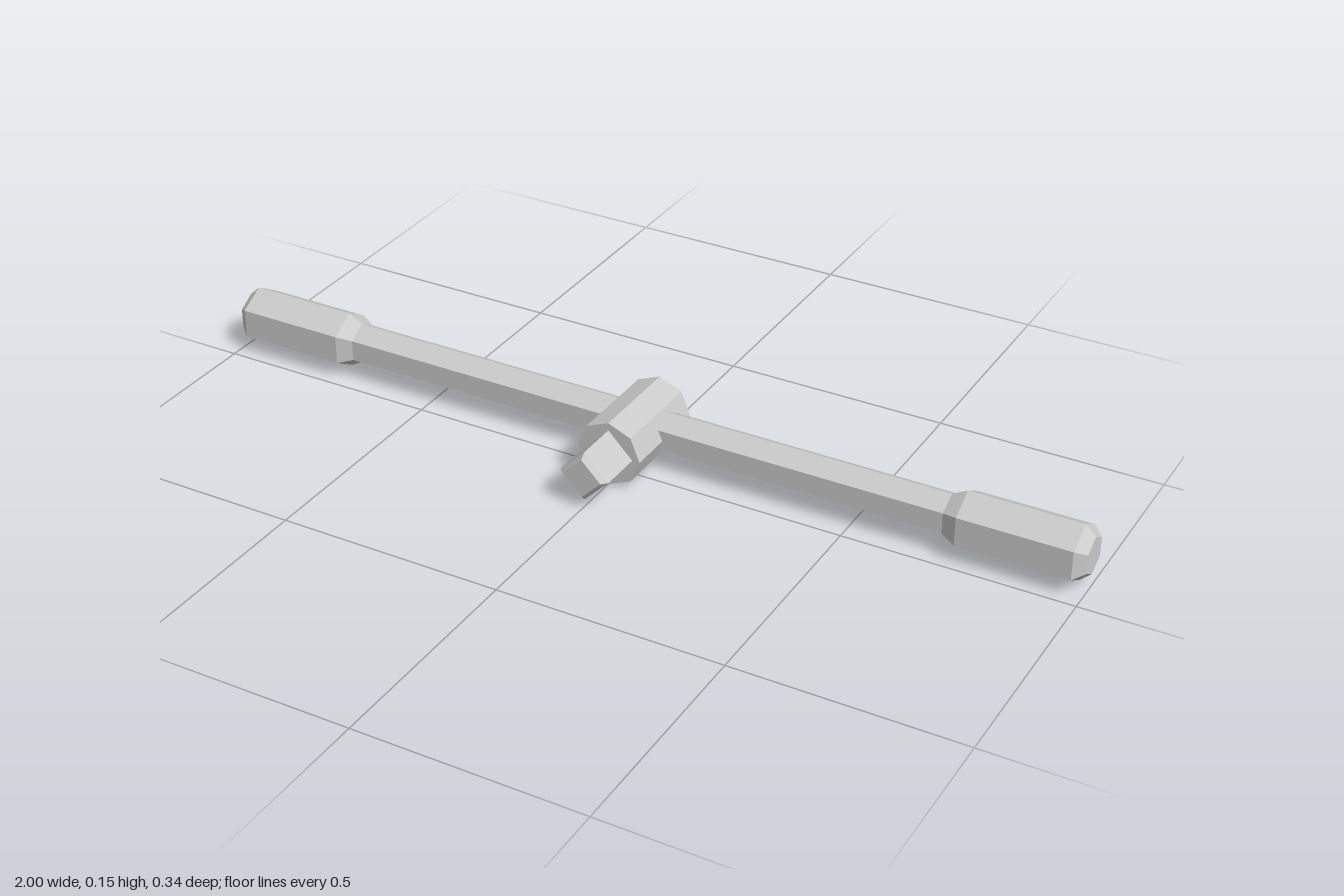
import * as THREE from 'three';

const material = new THREE.MeshStandardMaterial({ color: 0xcccccc, flatShading: true });
const AXIS_Y = 0.073;
const HANDLE_Z = -0.077;

// Faceted solid from [radius, position along axis] pairs, built along +y
function facetedBar(profile, sides, phiStart = 0) {
  const points = profile.map(([r, t]) => new THREE.Vector2(r, t));
  return new THREE.LatheGeometry(points, sides, phiStart);
}

function addPart(group, name, geometry, z = 0) {
  const mesh = new THREE.Mesh(geometry, material);
  mesh.name = name;
  mesh.position.set(0, AXIS_Y, z);
  group.add(mesh);
}

export function createModel() {
  const group = new THREE.Group();
  group.name = 'slidingTBar';

  // Octagonal head with a chamfered back
  addPart(group, 'head',
    facetedBar([[0, -0.17], [0.053, -0.17], [0.073, -0.158], [0.073, 0.06], [0, 0.06]], 8)
      .rotateX(Math.PI / 2));

  // Square drive standing on its corner
  addPart(group, 'squareDrive',
    facetedBar([[0, 0.05], [0.056, 0.05], [0.056, 0.158], [0.044, 0.17], [0, 0.17]], 4)
      .rotateX(Math.PI / 2));

  // Hexagonal crossbar through the head
  addPart(group, 'crossbar',
    facetedBar([[0, -0.72], [0.047, -0.72], [0.047, 0.72], [0, 0.72]], 6, Math.PI / 2)
      .rotateZ(-Math.PI / 2), HANDLE_Z);

  // Thicker grips, tapering into the crossbar and chamfered at the tips
  for (const [name, side] of [['leftGrip', 1], ['rightGrip', -1]]) {
    addPart(group, name,
      facetedBar([[0, 0.7], [0.047, 0.7], [0.065, 0.733], [0.065, 0.977], [0.043, 1], [0, 1]], 6, Math.PI / 2)
        .rotateZ(-side * Math.PI / 2), HANDLE_Z);
  }

  return group;
}
